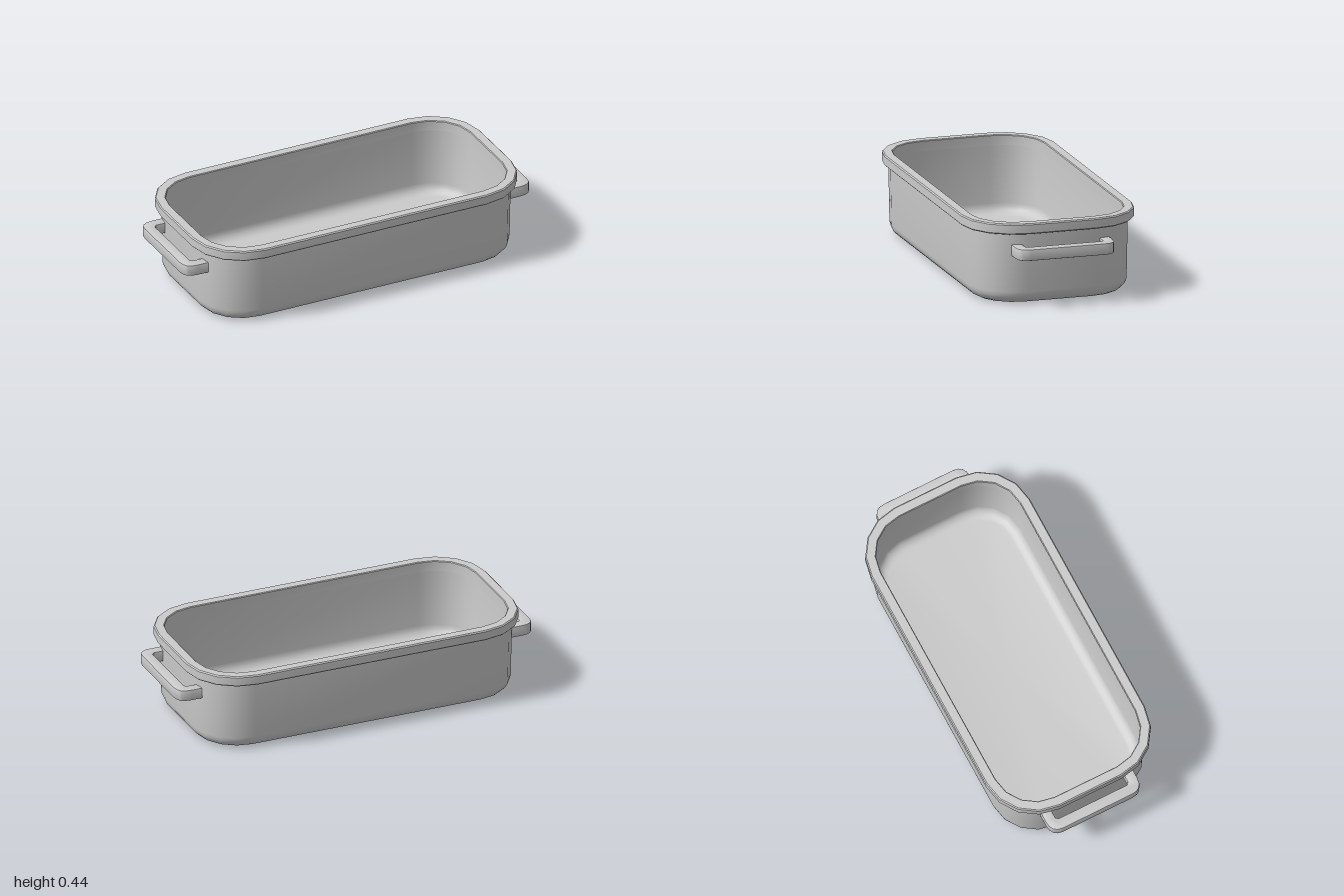
import * as THREE from 'three';
import { toCreasedNormals } from 'three/addons/utils/BufferGeometryUtils.js';

const material = new THREE.MeshStandardMaterial({ color: 0xcccccc });
const CX = 0.64, CZ = 0.18, STEPS = 4; // corner arc centres and facets per corner

// One rounded-rectangle ring; r is the corner radius, null collapses it to the centre.
function ring([r, y]) {
  const points = [];
  for (let corner = 0; corner < 4; corner++) {
    const sx = corner === 0 || corner === 3 ? 1 : -1;
    const sz = corner < 2 ? 1 : -1;
    for (let s = 0; s <= STEPS; s++) {
      const a = (corner + s / STEPS) * Math.PI / 2;
      points.push(r === null ? [0, y, 0]
        : [sx * CX + r * Math.cos(a), y, sz * CZ + r * Math.sin(a)]);
    }
  }
  return points;
}

// Sweep a [radius, height] profile around the rounded rectangle.
function sweep(name, profile) {
  const rings = profile.map(ring), pos = [];
  for (let j = 0; j < rings.length - 1; j++) {
    const lo = rings[j], hi = rings[j + 1];
    for (let i = 0; i < lo.length; i++) {
      const k = (i + 1) % lo.length;
      if (profile[j][0] !== null) pos.push(...lo[i], ...hi[i], ...lo[k]);
      if (profile[j + 1][0] !== null) pos.push(...lo[k], ...hi[i], ...hi[k]);
    }
  }
  const geometry = new THREE.BufferGeometry();
  geometry.setAttribute('position', new THREE.Float32BufferAttribute(pos, 3));
  const mesh = new THREE.Mesh(toCreasedNormals(geometry, 0.65), material);
  mesh.name = name;
  return mesh;
}

// Quarter-round between floor and wall, listed from the floor outwards.
function fillet(rWall, yFloor, size) {
  return Array.from({ length: 6 }, (_, i) => {
    const a = i / 5 * Math.PI / 2;
    return [rWall - size + size * Math.sin(a), yFloor + size - size * Math.cos(a)];
  });
}

// U-shaped grip lying flat, with its legs sunk into the end wall.
function handleGeometry() {
  const shape = new THREE.Shape();
  shape.moveTo(0.863, -0.265);
  shape.lineTo(0.93, -0.265);
  shape.quadraticCurveTo(1, -0.265, 1, -0.2);
  shape.lineTo(1, 0.2);
  shape.quadraticCurveTo(1, 0.265, 0.93, 0.265);
  shape.lineTo(0.863, 0.265);
  shape.lineTo(0.863, 0.21);
  shape.lineTo(0.93, 0.21);
  shape.lineTo(0.942, 0.198);
  shape.lineTo(0.942, -0.198);
  shape.lineTo(0.93, -0.21);
  shape.lineTo(0.863, -0.21);
  shape.closePath();
  const bevel = 0.005;
  const geometry = new THREE.ExtrudeGeometry(shape, {
    depth: 0.06 - 2 * bevel, curveSegments: 4, bevelEnabled: true,
    bevelThickness: bevel, bevelSize: bevel, bevelOffset: -bevel, bevelSegments: 2,
  });
  geometry.rotateX(Math.PI / 2);
  geometry.translate(0, 0.32 - bevel, 0);
  return toCreasedNormals(geometry, 0.6);
}

export function createModel() {
  const group = new THREE.Group();
  group.name = 'roastingDish';

  // Outer shell, from the centre of the base up to the rim
  group.add(sweep('outerShell', [[null, 0], ...fillet(0.241, 0, 0.065), [0.247, 0.38]]));

  // Inner lining, from the rim down to the centre of the floor
  group.add(sweep('innerLining',
    [[0.225, 0.38], ...fillet(0.22, 0.02, 0.055).reverse(), [null, 0.02]]));

  // Overhanging rim with softened edges
  group.add(sweep('rim', [
    [0.247, 0.38], [0.274, 0.38], [0.28, 0.386], [0.28, 0.43], [0.274, 0.436],
    [0.229, 0.436], [0.225, 0.432], [0.225, 0.38],
  ]));

  // Handles at both ends
  const geometry = handleGeometry();
  ['leftHandle', 'rightHandle'].forEach((name, i) => {
    const handle = new THREE.Mesh(geometry, material);
    handle.name = name;
    handle.rotation.y = i * Math.PI;
    group.add(handle);
  });
  return group;
}
